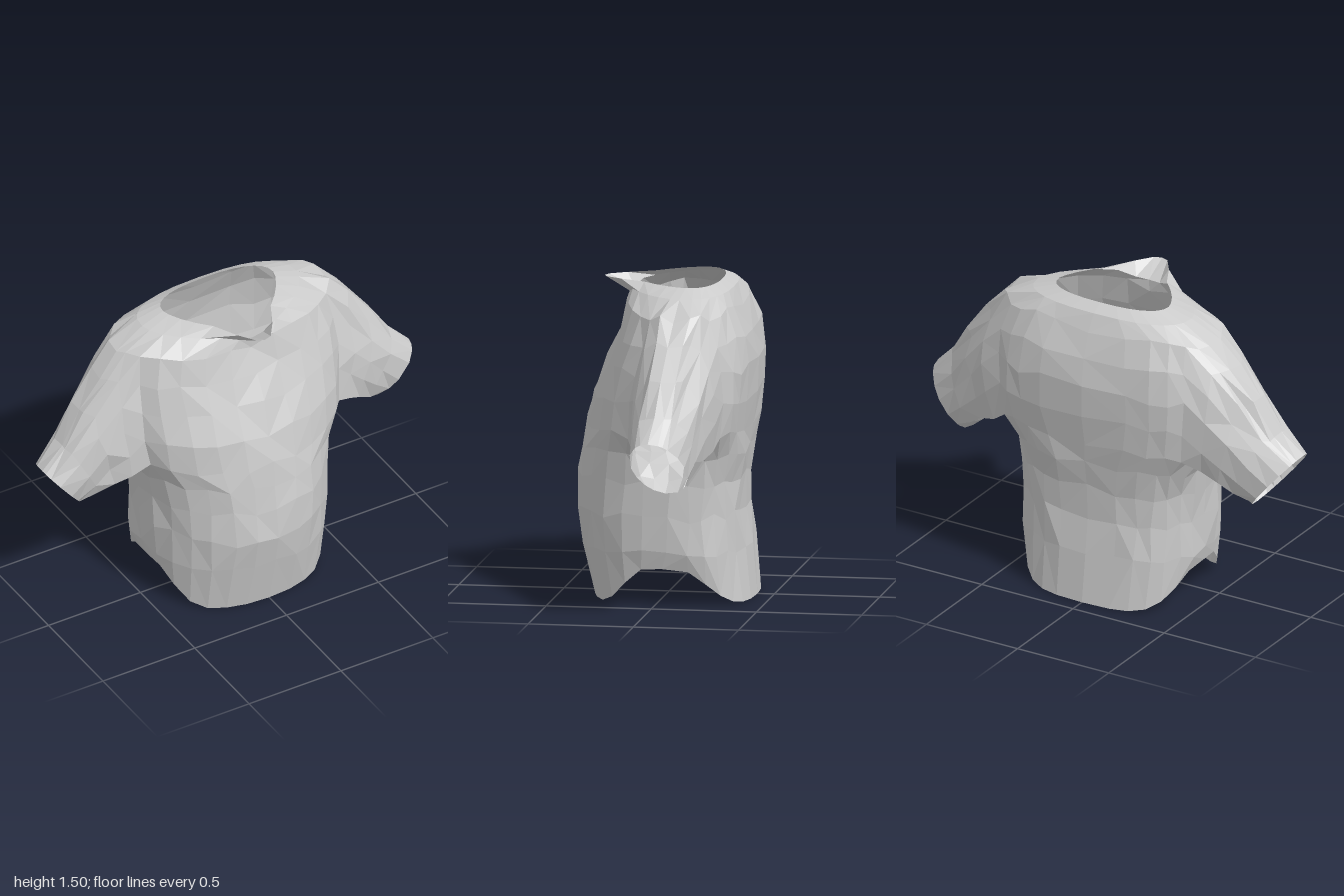
import * as THREE from 'three';

const COLS = 28;                 // columns around the body
const ARM_LOW = 5, ARM_HIGH = 9; // rows bounding the armholes
// first and last column of each armhole, reaching further round the back
const ARMHOLES = { left: [-3, 2], right: [COLS / 2 - 2, COLS / 2 + 3] };

// body rows: height, half width, front z, back z, side z, front and back roundness
const ROWS = [
  [0.00, 0.44, 0.34, -0.42, -0.04, 0.88, 0.75],
  [0.25, 0.46, 0.405, -0.39, -0.06, 0.93, 0.75],
  [0.42, 0.465, 0.43, -0.37, -0.07, 0.95, 0.75],
  [0.58, 0.47, 0.42, -0.37, -0.08, 0.95, 0.75],
  [0.71, 0.495, 0.405, -0.39, -0.09, 0.97, 0.72],
  [0.82, 0.57, 0.38, -0.40, -0.10, 1.00, 0.68],
  [0.97, 0.585, 0.35, -0.42, -0.10, 1.00, 0.62],
  [1.12, 0.59, 0.285, -0.42, -0.10, 1.00, 0.62],
  [1.26, 0.59, 0.225, -0.40, -0.10, 1.00, 0.66],
  [1.39, 0.57, 0.19, -0.345, -0.11, 1.08, 0.72],
  [1.46, 0.42, 0.185, -0.31, -0.12, 1.25, 0.78],
  [1.495, 0.30, 0.18, -0.255, -0.13, 1.40, 0.82],
];

function seeded(seed) {
  return () => {
    seed = (seed * 16807) % 2147483647;
    return seed / 2147483647 - 0.5;
  };
}

// joins rows of points into a faceted cloth surface, leaving out skipped cells
function surface(name, rows, material, skip = () => false) {
  const n = rows[0].length;
  const pos = rows.flat().flatMap((p) => [p.x, p.y, p.z]);
  const index = [];
  for (let r = 0; r < rows.length - 1; r++) {
    for (let c = 0; c < n; c++) {
      if (skip(r, c)) continue;
      const a = r * n + c, b = r * n + (c + 1) % n, d = a + n, e = b + n;
      if ((r * 5 + c * 3) % 4 < 2) index.push(a, d, b, b, d, e);
      else index.push(a, d, e, a, e, b);
    }
  }
  let geo = new THREE.BufferGeometry();
  geo.setAttribute('position', new THREE.Float32BufferAttribute(pos, 3));
  geo.setIndex(index);
  geo = geo.toNonIndexed();
  geo.computeVertexNormals();
  const mesh = new THREE.Mesh(geo, material);
  mesh.name = name;
  return mesh;
}

function bodyRows() {
  const rand = seeded(41);
  const last = ROWS.length - 1;
  return ROWS.map(([y, w, front, back, side, frontRound, backRound], r) => {
    const ring = [];
    for (let c = 0; c < COLS; c++) {
      const t = (c / COLS) * Math.PI * 2;
      const cos = Math.cos(t), sin = Math.sin(t);
      const p = sin > 0 ? frontRound : backRound;
      const reach = Math.pow(Math.abs(sin), p);
      const v = new THREE.Vector3(
        Math.sign(cos) * w * Math.pow(Math.abs(cos), p), y,
        side + (sin > 0 ? front - side : back - side) * reach);
      // hem rises at the sides
      if (r === 0) {
        const low = sin > 0 ? 0.82 : 0.96;
        v.y = 0.18 * (1 - THREE.MathUtils.smoothstep(reach, 0.2, low));
      }
      // collar dips at the front and its edge folds outwards
      const middle = sin > 0 ? Math.exp(-Math.pow(v.x / 0.11, 4)) : 0;
      if (r === last - 1) v.y -= 0.03 * middle;
      if (r === last) v.z += 0.125 * middle;
      // loose cloth creases
      const loose = r === 0 || r >= last - 1 ? 0 : 0.016;
      v.x += rand() * loose;
      v.y += rand() * loose * 2.5;
      v.z += rand() * loose;
      ring.push(v);
    }
    return ring;
  });
}

// sleeve running from the armhole edge to a slanted cuff
function sleeveRows(body, [first, end], sign) {
  const at = (r, c) => body[r][(c + COLS) % COLS];
  const hole = [];
  for (let c = first; c < end; c++) hole.push(at(ARM_LOW, c));
  for (let r = ARM_LOW; r < ARM_HIGH; r++) hole.push(at(r, end));
  for (let c = end; c > first; c--) hole.push(at(ARM_HIGH, c));
  for (let r = ARM_HIGH; r > ARM_LOW; r--) hole.push(at(r, first));

  const rand = seeded(sign > 0 ? 77 : 123);
  const steps = 4, rows = [];
  for (let i = 0; i <= steps; i++) {
    const s = i / steps;
    rows.push(hole.map((h) => {
      const a = Math.atan2((h.y - 1.11) / 0.29, (h.z + 0.12) / 0.21);
      const up = Math.sin(a);
      const cuff = new THREE.Vector3(
        sign * (0.89 + 0.11 * up), 0.735 + 0.135 * up,
        -0.1 + 0.03 * up + 0.13 * Math.cos(a));
      const v = h.clone().lerp(cuff, s);
      // full at the shoulder and slim at the cuff
      v.y += 0.025 * Math.sin(Math.PI * 2 * s) * Math.max(0, up);
      if (i > 0 && i < steps) {
        v.x += rand() * 0.02;
        v.y += rand() * 0.02;
        v.z += rand() * 0.02;
      }
      return v;
    }));
  }
  return rows;
}

export function createModel() {
  const group = new THREE.Group();
  group.name = 'shirt';
  const cloth = new THREE.MeshStandardMaterial({
    color: 0xcccccc, flatShading: true, side: THREE.DoubleSide,
  });

  // body with two armholes left open
  const body = bodyRows();
  const inArmhole = (r, c) => r >= ARM_LOW && r < ARM_HIGH &&
    Object.values(ARMHOLES).some(([a, b]) => (c - a) % COLS < b - a && c >= a);
  group.add(surface('body', body, cloth, inArmhole));

  // sleeves
  group.add(surface('leftSleeve', sleeveRows(body, ARMHOLES.left, 1), cloth));
  group.add(surface('rightSleeve', sleeveRows(body, ARMHOLES.right, -1), cloth));
  return group;
}
